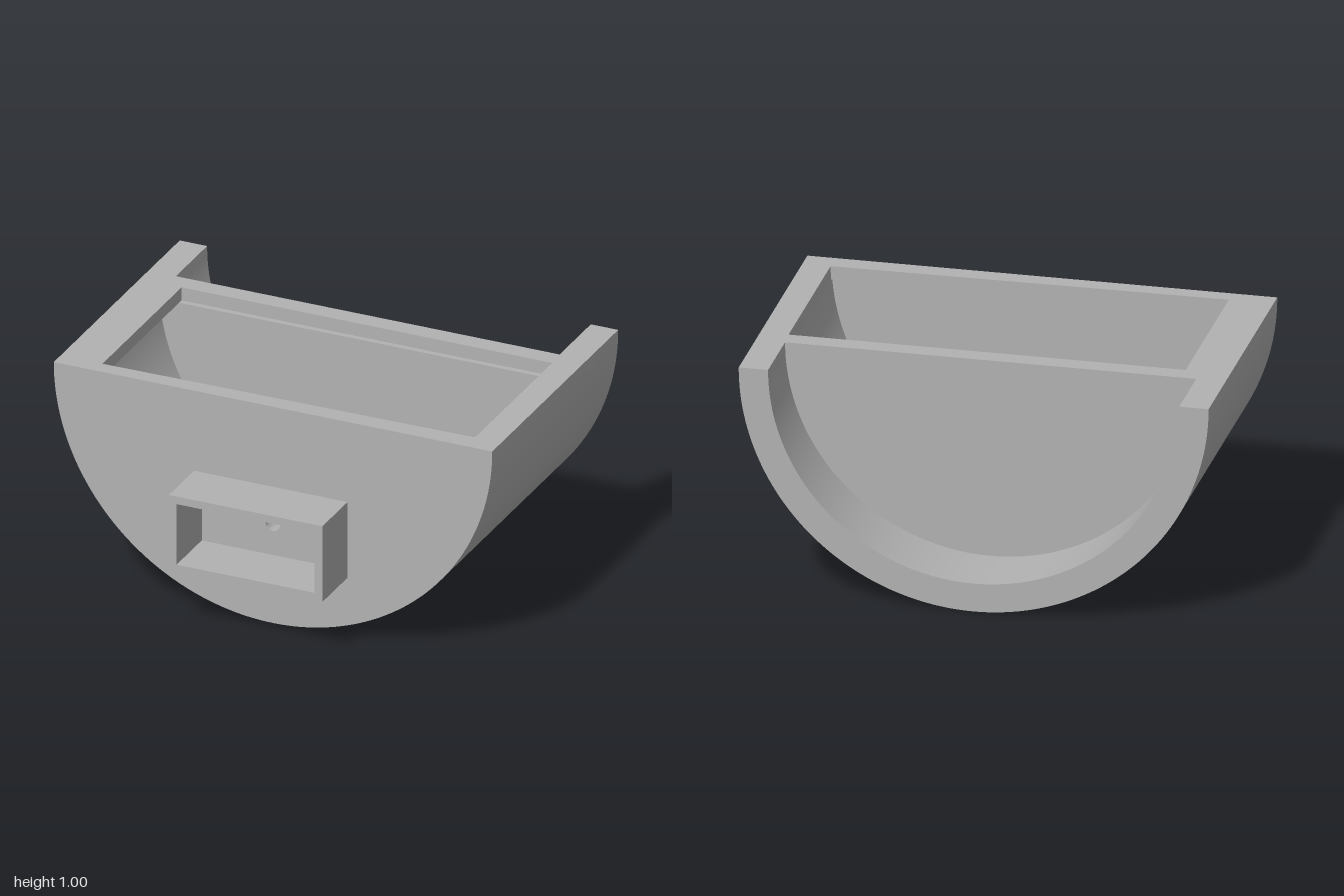
import * as THREE from 'three';
import { toCreasedNormals } from 'three/addons/utils/BufferGeometryUtils.js';

const grey = new THREE.MeshStandardMaterial({ color: 0xb2b2b2 });
grey.name = 'plain grey';

// Extrude a front-view outline from z0 to z1
function slab(name, shape, z0, z1) {
  const geo = new THREE.ExtrudeGeometry(shape, { depth: z1 - z0, bevelEnabled: false, curveSegments: 64 });
  geo.translate(0, 0, z0);
  const mesh = new THREE.Mesh(toCreasedNormals(geo, 0.5), grey);
  mesh.name = name;
  return mesh;
}

// Lower half disc of radius 1, flat side up at y = 1
function halfDisc() {
  const s = new THREE.Shape();
  s.moveTo(-1, 1);
  s.absarc(0, 1, 1, Math.PI, Math.PI * 2, false);
  return s;
}

function rectangle(Type, x0, y0, x1, y1) {
  const r = new Type();
  r.moveTo(x0, y0);
  r.lineTo(x1, y0);
  r.lineTo(x1, y1);
  r.lineTo(x0, y1);
  r.closePath();
  return r;
}

export function createModel() {
  const model = new THREE.Group();
  model.name = 'halfRoundHousing';
  const slotL = -0.81, slotR = 0.88, slotY = 0.94;

  // Open recess at the back
  const rim = halfDisc();
  rim.lineTo(0.875, 1);
  rim.absarc(0, 1, 0.875, 0, -Math.PI, true);
  model.add(slab('backRim', rim, -0.75, -0.44));

  // Dividing wall, with a shallow lid ledge on its front edge
  model.add(slab('dividingWall', halfDisc(), -0.44, -0.355));
  const ledge = halfDisc();
  ledge.lineTo(slotR, 1);
  ledge.lineTo(slotR, slotY);
  ledge.lineTo(slotL, slotY);
  ledge.lineTo(slotL, 1);
  model.add(slab('lidLedge', ledge, -0.355, -0.33));

  // Main cavity, overhung by a lip on one side
  const shell = halfDisc();
  const cavityR = 0.89, lipAngle = Math.asin((1 - slotY) / cavityR);
  shell.lineTo(slotR, 1);
  shell.absarc(-0.01, 1, cavityR, 0, -Math.PI + lipAngle, true);
  shell.lineTo(slotL, slotY);
  shell.lineTo(slotL, 1);
  model.add(slab('cavityShell', shell, -0.33, 0.43));

  // Thin tapered lip along the front edge of the opening
  const taper = new THREE.Shape();
  taper.moveTo(slotL, 0.43);
  taper.lineTo(slotR, 0.41);
  taper.lineTo(slotR, 0.43);
  taper.closePath();
  const lip = slab('frontLip', taper, 0, 1 - slotY);
  lip.geometry.rotateX(Math.PI / 2).translate(0, 1, 0);
  model.add(lip);

  // Front wall with a cable hole
  const front = halfDisc();
  const hole = new THREE.Path();
  hole.absarc(0, 0.46, 0.034, 0, Math.PI * 2, true);
  front.holes.push(hole);
  model.add(slab('frontWall', front, 0.43, 0.5));

  // Open rectangular socket on the front
  const socket = rectangle(THREE.Shape, -0.36, 0.28, 0.34, 0.63);
  socket.holes.push(rectangle(THREE.Path, -0.325, 0.315, 0.305, 0.595));
  model.add(slab('frontSocket', socket, 0.5, 0.75));

  return model;
}
